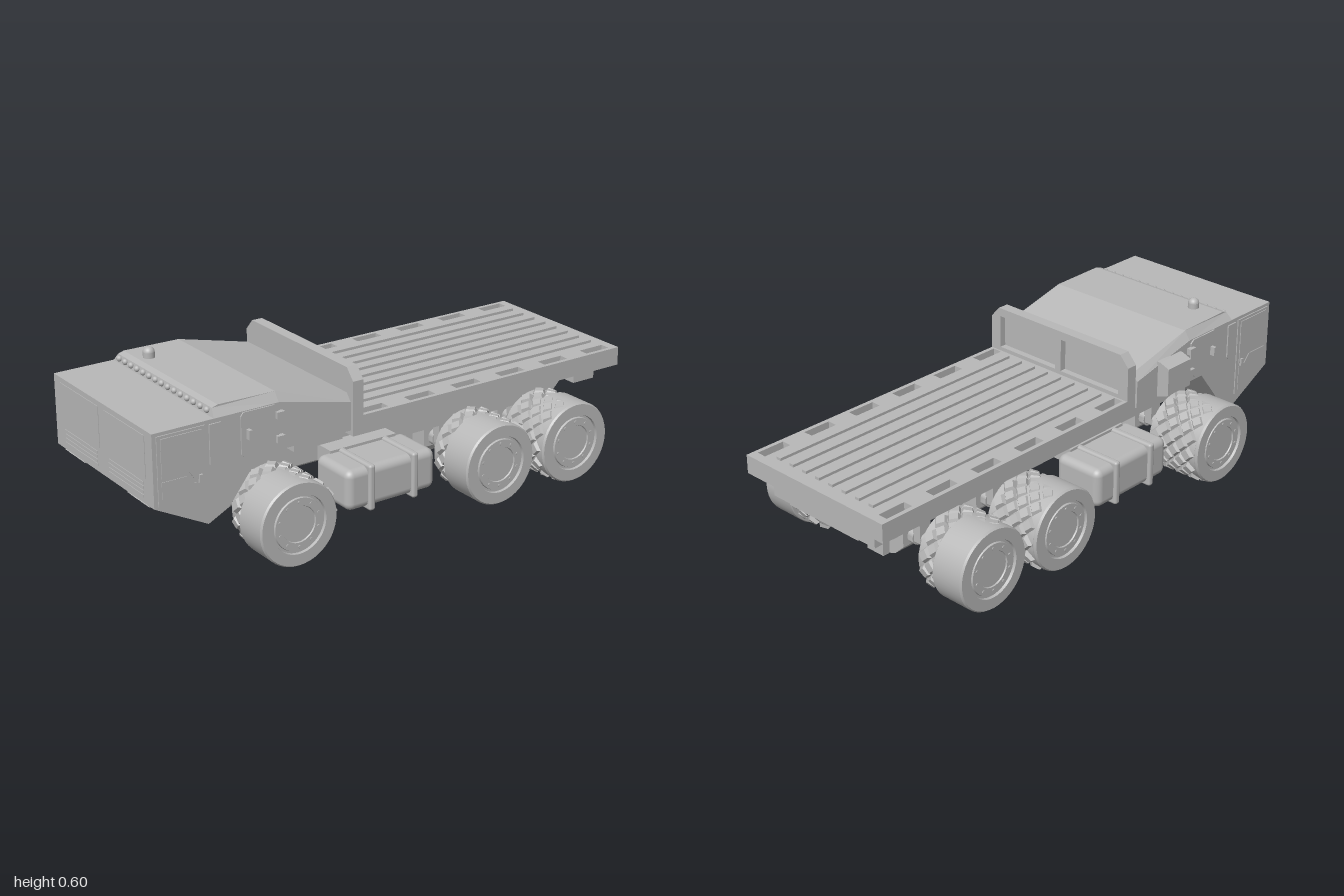
import * as THREE from 'three';
import { mergeGeometries, toCreasedNormals } from 'three/addons/utils/BufferGeometryUtils.js';
import { RoundedBoxGeometry } from 'three/addons/geometries/RoundedBoxGeometry.js';

export function createModel() {
  const truck = new THREE.Group();
  truck.name = 'heavyTruck';
  const grey = new THREE.MeshStandardMaterial({ color: 0xb8b8b8 });
  grey.name = 'plain grey';

  const add = (name, geo, x = 0, y = 0, z = 0, parent = truck) => {
    const m = new THREE.Mesh(geo, grey);
    m.name = name;
    m.position.set(x, y, z);
    parent.add(m);
    return m;
  };
  const box = (name, w, h, d, x, y, z) => add(name, new THREE.BoxGeometry(w, h, d), x, y, z);
  const poly = pts => new THREE.Shape(pts.map(p => new THREE.Vector2(...p)));
  const rect = (x0, y0, x1, y1) => poly([[x0, y0], [x1, y0], [x1, y1], [x0, y1]]);
  const extrude = (shape, depth) =>
    new THREE.ExtrudeGeometry(shape, { depth, bevelEnabled: false, curveSegments: 6 }).translate(0, 0, -depth / 2);
  // side profile given as [z, y], extruded across x
  const side = (pts, width) => extrude(poly(pts), width).rotateY(-Math.PI / 2);
  // plan given as [x, -z], extruded upwards about y = 0
  const plan = (shape, height) => extrude(shape, height).rotateX(-Math.PI / 2);
  const tubeX = (r, len) => toCreasedNormals(new THREE.CylinderGeometry(r, r, len, 20).rotateZ(Math.PI / 2), 0.7);
  const tubeZ = (r, len) => toCreasedNormals(new THREE.CylinderGeometry(r, r, len, 20).rotateX(Math.PI / 2), 0.7);

  // ---- cab ----
  add('cabBody', side([[1, 0.27], [1, 0.53], [0.52, 0.53], [0.23, 0.465], [0.23, 0.36], [0.6, 0.36], [0.72, 0.205], [0.8, 0.165]], 0.67));
  const roof = side([[0.77, 0.528], [0.762, 0.558], [0.74, 0.565], [0.52, 0.562], [0.23, 0.492], [0.23, 0.463], [0.52, 0.528]], 0.67);
  const rp = roof.attributes.position;
  for (let i = 0; i < rp.count; i++) {
    const lower = 0.528 - Math.max(0, 0.52 - rp.getZ(i)) * 0.224;
    if (rp.getY(i) > lower + 0.01) rp.setX(i, rp.getX(i) * 0.93);
  }
  roof.computeVertexNormals();
  add('raisedRoof', roof);
  for (let i = 0; i < 15; i++)
    add('roofMarkerLight', new THREE.SphereGeometry(0.011, 12, 8), -0.293 + i * 0.0417, 0.547, 0.768);
  add('beaconBase', new THREE.CylinderGeometry(0.021, 0.021, 0.03, 20), -0.205, 0.57, 0.7);
  add('beaconDome', new THREE.SphereGeometry(0.021, 20, 12, 0, Math.PI * 2, 0, Math.PI / 2), -0.205, 0.582, 0.7);

  for (const s of [-1, 1]) {
    // front face
    box('windscreen', 0.268, 0.15, 0.006, s * 0.154, 0.436, 0.999);
    for (let i = 0; i < 4; i++) box('grilleSlat', 0.232, 0.009, 0.006, s * 0.155, 0.294 + i * 0.0155, 0.999);
    // headlights on the sloping lower panel
    const lamps = new THREE.Group();
    lamps.name = 'headlights';
    lamps.position.set(s * 0.22, 0.243, 0.949);
    lamps.rotation.x = 1.087;
    truck.add(lamps);
    add('headlightPlate', new THREE.BoxGeometry(0.132, 0.105, 0.008), 0, 0, 0, lamps);
    for (const t of [-1, 1]) add('headlightLens', new THREE.BoxGeometry(0.054, 0.082, 0.016), t * 0.032, 0, 0, lamps);
    // cab sides
    const x = s * 0.336;
    add('door', side([[0.985, 0.275], [0.985, 0.518], [0.805, 0.518], [0.805, 0.21]], 0.006), x);
    add('doorWindow', side([[0.972, 0.37], [0.972, 0.508], [0.82, 0.508], [0.82, 0.335], [0.85, 0.34], [0.87, 0.37]], 0.012), x);
    add('doorLowerWindow', side([[0.972, 0.285], [0.972, 0.358], [0.88, 0.358], [0.855, 0.328], [0.82, 0.323], [0.82, 0.225]], 0.01), x);
    add('rearWindow', side([[0.79, 0.375], [0.79, 0.515], [0.745, 0.515], [0.745, 0.385], [0.755, 0.375]], 0.008), x);
    add('sideHatch', side([[0.66, 0.37], [0.67, 0.38], [0.67, 0.515], [0.66, 0.527], [0.54, 0.527], [0.525, 0.515], [0.525, 0.4], [0.555, 0.37]], 0.008), x);
    for (const y of [0.405, 0.49]) box('hatchHinge', 0.02, 0.024, 0.03, s * 0.343, y, 0.522);
    box('hatchLatch', 0.028, 0.034, 0.012, s * 0.345, 0.45, 0.645);
    box('doorHandle', 0.016, 0.028, 0.012, s * 0.341, 0.34, 0.83);
  }
  // intake box on the right flank
  add('airIntake', extrude(poly([[-0.33, 0.365], [-0.345, 0.37], [-0.385, 0.385], [-0.385, 0.49], [-0.345, 0.505], [-0.33, 0.505]]), 0.125), 0, 0, 0.405);

  // ---- chassis ----
  add('chassisFrame', side([[0.72, 0.2], [0.66, 0.365], [0.2, 0.365], [0.2, 0.38], [-0.96, 0.38], [-0.96, 0.26], [-0.87, 0.26], [-0.81, 0.2]], 0.34));
  box('cabMount', 0.6, 0.05, 0.2, 0, 0.345, 0.34);
  box('rearCrossBeam', 0.5, 0.09, 0.1, 0, 0.31, -0.91);
  add('driveShaft', tubeZ(0.034, 0.86), 0, 0.145, 0.117);
  add('rearDriveShaft', tubeZ(0.028, 0.35), 0, 0.145, -0.485);
  for (const z of [0.36, -0.13]) add('shaftCollar', tubeZ(0.044, 0.035), 0, 0.145, z);

  // ---- load bed ----
  const deck = rect(-0.335, -0.2, 0.335, 1);
  for (const s of [-1, 1])
    for (let i = 0; i < 6; i++) {
      const y = -0.17 + i * 0.205;
      deck.holes.push(rect(s * 0.3 - 0.019, y, s * 0.3 + 0.019, y + 0.11));
    }
  add('bedDeck', plan(deck, 0.03), 0, 0.39, 0);
  const skirt = rect(-0.335, -0.2, 0.335, 1);
  skirt.holes.push(rect(-0.323, -0.185, 0.323, 0.985));
  add('bedSkirt', plan(skirt, 0.04), 0, 0.355, 0);
  for (let i = 0; i < 8; i++) box('bedRib', 0.02, 0.012, 1.1, -0.228 + i * 0.0651, 0.409, -0.4);

  // headboard with two recessed panels
  const board = [[-0.335, 0.335], [0.335, 0.335], [0.335, 0.535], [0.297, 0.577], [-0.297, 0.577], [-0.335, 0.535]];
  add('headboardPlate', extrude(poly(board), 0.018), 0, 0, 0.211);
  const frame = poly(board);
  frame.holes.push(rect(-0.29, 0.42, -0.014, 0.545), rect(0.014, 0.42, 0.29, 0.545));
  add('headboardFrame', extrude(frame, 0.025), 0, 0, 0.19);

  // ---- side tanks ----
  for (const s of [-1, 1]) {
    add('sideTank', new RoundedBoxGeometry(0.2, 0.15, 0.375, 4, 0.028), s * 0.322, 0.175, 0.115);
    for (const z of [0.023, 0.207])
      add('tankStrap', new RoundedBoxGeometry(0.224, 0.17, 0.026, 2, 0.01), s * 0.322, 0.175, z);
    box('tankBracket', 0.1, 0.06, 0.28, s * 0.2, 0.23, 0.115);
  }

  // ---- wheels and axles ----
  const tyre = toCreasedNormals(new THREE.LatheGeometry([
    [0, 0.357], [0.149, 0.357], [0.152, 0.36], [0.152, 0.483], [0.147, 0.49], [0.106, 0.49], [0.104, 0.48],
    [0.096, 0.48], [0.094, 0.487], [0.066, 0.487], [0.064, 0.482], [0, 0.482],
  ].map(p => new THREE.Vector2(...p)), 48).rotateZ(-Math.PI / 2), 0.6);
  const core = toCreasedNormals(new THREE.CylinderGeometry(0.138, 0.138, 0.212, 40).rotateZ(Math.PI / 2).translate(0.372, 0, 0), 0.7);
  // staggered diamond lugs wrapped round the core
  const lugs = [];
  for (let row = 0; row < 6; row++)
    for (let i = 0; i < 14; i++) {
      const g = new THREE.CylinderGeometry(0.021, 0.031, 0.016, 4).toNonIndexed();
      g.computeVertexNormals();
      lugs.push(g.translate(0.298 + row * 0.03, 0.143, 0).rotateX((i + (row % 2) / 2) * Math.PI / 7));
    }
  const tread = mergeGeometries(lugs);

  const diff = [[-0.04, 0.05], [0.04, 0.05], [0.07, 0.062], [0.11, 0.1], [0.11, 0.17], [0.07, 0.21], [-0.07, 0.21], [-0.11, 0.17], [-0.11, 0.1], [-0.07, 0.062]];
  // axle position and the small shift of the tread along z
  for (const [z, shift] of [[0.545, -0.015], [-0.31, -0.015], [-0.66, 0.012]]) {
    for (const s of [-1, 1]) {
      const wheel = new THREE.Group();
      wheel.name = 'wheel';
      wheel.position.set(0, 0.152, z);
      if (s < 0) wheel.rotation.y = Math.PI;
      truck.add(wheel);
      add('tyre', tyre, 0, 0, 0, wheel);
      add('treadCore', core, 0, 0, s * shift, wheel);
      add('treadLugs', tread, 0, 0, s * shift, wheel);
      for (let i = 0; i < 10; i++) {
        const a = i * Math.PI / 5;
        add('wheelBolt', new THREE.CylinderGeometry(0.006, 0.006, 0.006, 6).rotateZ(-Math.PI / 2), 0.487, Math.cos(a) * 0.08, Math.sin(a) * 0.08, wheel);
      }
      add('axleFlange', tubeX(0.032, 0.025), s * 0.125, 0.135, z);
      box('springSeat', 0.06, 0.03, 0.07, s * 0.23, 0.1, z);
      box('suspensionArm', 0.035, 0.15, 0.05, s * 0.15, 0.2, z);
    }
    add('axleTube', tubeX(0.025, 0.54), 0, 0.135, z);
    add('differentialCase', extrude(poly(diff), 0.1), 0, 0, z);
    add('differentialNose', extrude(rect(-0.04, 0.05, 0.04, 0.2), 0.16), 0, 0, z);
  }
  return truck;
}
